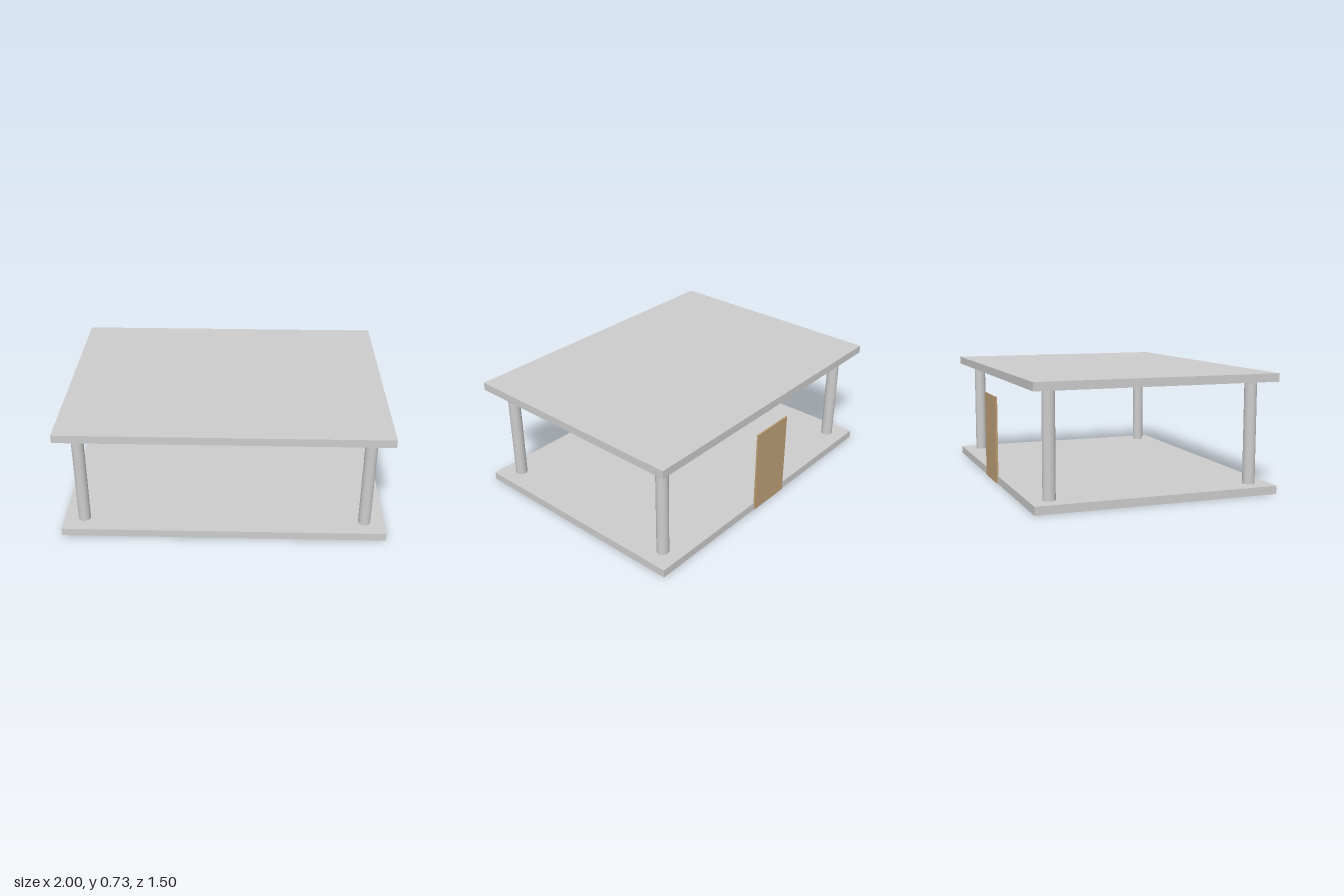
import * as THREE from 'three';

export function createModel() {
  const group = new THREE.Group();
  const concrete = new THREE.MeshStandardMaterial({ color: 0xcccccc });
  concrete.name = 'concrete grey';
  const wood = new THREE.MeshStandardMaterial({ color: 0xc0a27a });
  wood.name = 'wood tan';

  const add = (name, geometry, material, x, y, z) => {
    const mesh = new THREE.Mesh(geometry, material);
    mesh.name = name;
    mesh.position.set(x, y, z);
    group.add(mesh);
  };

  // Floor and roof slabs
  const slab = new THREE.BoxGeometry(2, 0.05, 1.5);
  add('floor', slab, concrete, 0, 0.025, 0);
  add('roof', slab, concrete, 0, 0.7, 0);

  // Corner pillars between the slabs
  const pillar = new THREE.CylinderGeometry(0.0375, 0.0375, 0.625, 32);
  for (const [side, x] of [['Left', 0.875], ['Right', -0.875]]) {
    for (const [end, z] of [['front', 0.63], ['back', -0.63]]) {
      add(`${end}${side}Pillar`, pillar, concrete, x, 0.3625, z);
    }
  }

  // Door panel straddling the back edge of the floor
  add('door', new THREE.BoxGeometry(0.3, 0.55, 0.01), wood, 0, 0.275, -0.75);

  return group;
}
